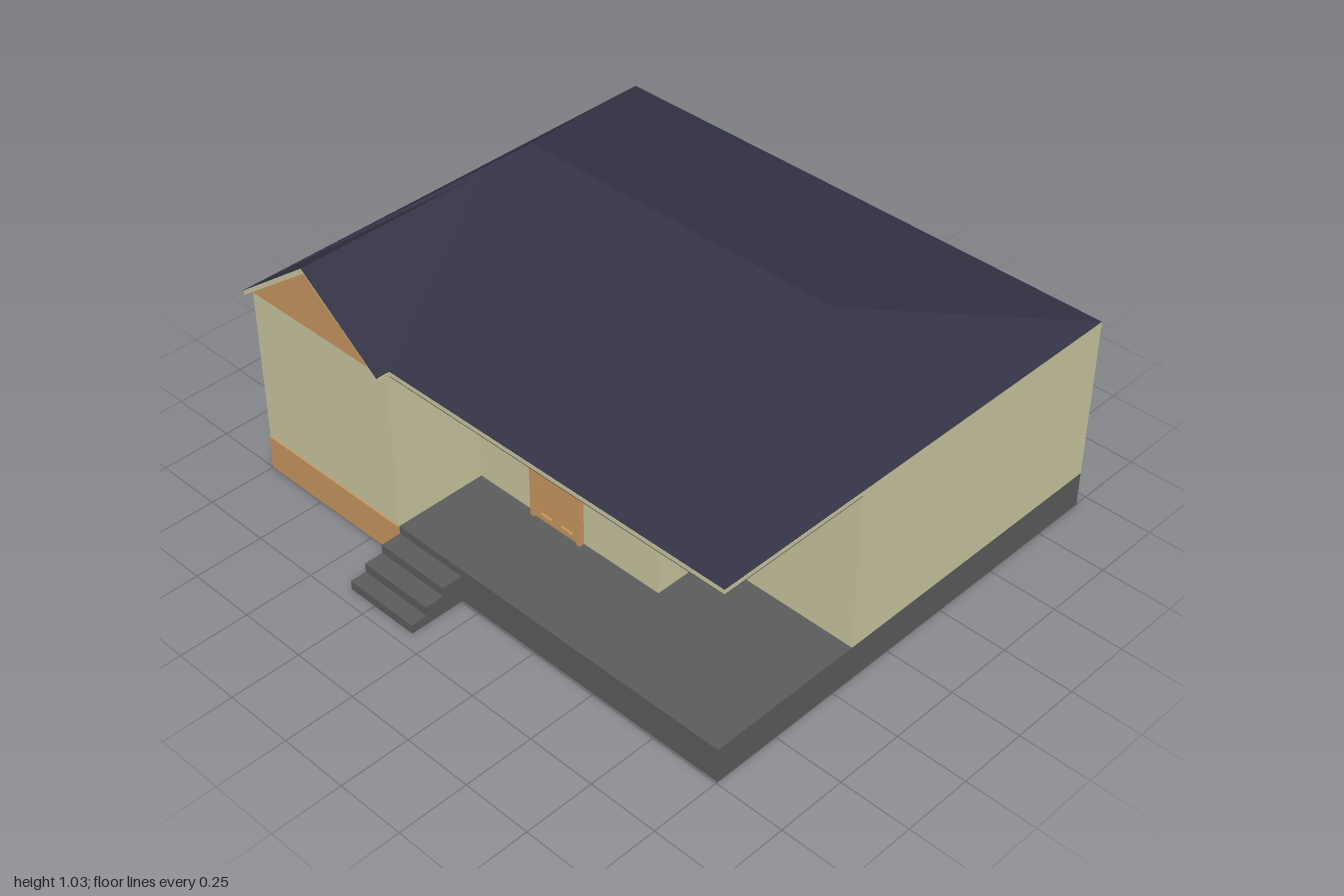
import * as THREE from 'three';

const material = (name, color, side = THREE.FrontSide) => {
  const m = new THREE.MeshStandardMaterial({ color, side });
  m.name = name;
  return m;
};

export function createModel() {
  const cream = material('cream wall', 0xcac7a0);
  const orange = material('orange wood', 0xc9965f);
  const grey = material('grey concrete', 0x5c5c5c);
  const navy = material('navy roof', 0x343446, THREE.DoubleSide);

  const house = new THREE.Group();
  house.name = 'house';

  const add = (parent, name, geometry, mat) => {
    const mesh = new THREE.Mesh(geometry, mat);
    mesh.name = name;
    parent.add(mesh);
    return mesh;
  };
  // Box given by its lower and upper limits
  const box = (parent, name, mat, x0, x1, y0, y1, z0, z1) =>
    add(parent, name, new THREE.BoxGeometry(x1 - x0, y1 - y0, z1 - z0), mat)
      .position.set((x0 + x1) / 2, (y0 + y1) / 2, (z0 + z1) / 2);
  const outline = (points) => new THREE.Shape(points.map(([x, y]) => new THREE.Vector2(x, y)));
  // Floor plan of [x, z] points raised from y0 to y1
  const planBlock = (points, y0, y1) =>
    new THREE.ExtrudeGeometry(outline(points.map(([x, z]) => [x, -z])), { depth: y1 - y0, bevelEnabled: false })
      .rotateX(-Math.PI / 2).translate(0, y0, 0);
  // Front elevation of [x, y] points, from z0 to z1
  const frontBlock = (shape, z0, z1) =>
    new THREE.ExtrudeGeometry(shape, { depth: z1 - z0, bevelEnabled: false }).translate(0, 0, z0);
  // Flat faces, each a counter-clockwise list of corners
  const faceGeometry = (faces) => {
    const pos = [];
    for (const f of faces)
      for (let i = 1; i < f.length - 1; i++) pos.push(...f[0], ...f[i], ...f[i + 1]);
    const g = new THREE.BufferGeometry();
    g.setAttribute('position', new THREE.Float32BufferAttribute(pos, 3));
    g.computeVertexNormals();
    return g;
  };

  const floor = 0.13, eave = 0.73, back = -0.95, front = 0.745, inner = -0.36;

  // Foundation and front steps
  box(house, 'foundation', grey, -1, 1, 0, floor, back, front);
  [[0.1, 0.82], [0.067, 0.89], [0.033, 0.95]].forEach(([h, z], i) =>
    box(house, `step${i + 1}`, grey, inner, -0.075, 0, h, front - 0.01, z));

  // Walls with stepped porch and a shallow recess at the back
  add(house, 'walls', planBlock([
    [-1, front], [inner, front], [inner, 0.4], [0.43, 0.4], [0.43, 0.17], [1, 0.17],
    [1, back], [0.17, back], [0.17, back + 0.05], [-0.22, back + 0.05], [-0.22, back], [-1, back],
  ], floor, eave), cream);

  // Porch ceiling with its cream edge
  const porch = [[inner, 0.4], [inner, 0.735], [1, 0.735], [1, 0.17], [0.43, 0.17], [0.43, 0.4]];
  add(house, 'porchFascia', planBlock(porch, 0.714, eave - 0.001), cream);
  add(house, 'porchCeiling', planBlock(porch, 0.711, 0.714), grey);

  // Orange cladding on the front wing
  box(house, 'wingPlinth', orange, -1, inner, 0, floor, front - 0.002, front + 0.005);
  add(house, 'wingGable', frontBlock(outline([
    [-1, 0.71], [inner, 0.71], [inner, 0.725], [-0.68, 0.965], [-1, 0.725],
  ]), front - 0.002, front + 0.005), orange);
  add(house, 'bargeboard', frontBlock(outline([
    [-1, 0.727], [-1, 0.711], [-0.68, 0.949], [inner, 0.711], [inner, 0.727], [-0.68, 0.967],
  ]), front, 0.778), cream);

  // Hipped main roof
  const A = [-1, eave, 0.735], B = [1, eave, 0.735], C = [1, eave, back], D = [-1, eave, back];
  const R0 = [-0.63, 1.03, -0.11], R1 = [0.63, 1.03, -0.11];
  add(house, 'mainRoof', faceGeometry([
    [A, B, R1, R0], [B, C, R1], [C, D, R0, R1], [D, A, R0], [A, D, C, B],
  ]), navy);

  // Gabled wing roof running into the main slope
  const P0 = [-0.68, 0.971, 0.06], P1 = [-0.68, 0.971, 0.785];
  add(house, 'wingRoof', faceGeometry([
    [A, [-1, eave, 0.785], P1, P0],
    [[inner, eave, 0.785], [inner, eave, 0.735], P0, P1],
  ]), navy);

  // Front door: frame, leaf with openings, panels and glazing bars
  const door = new THREE.Group();
  door.name = 'frontDoor';
  house.add(door);
  const rect = (x0, x1, y0, y1) => [[x0, y0], [x1, y0], [x1, y1], [x0, y1]];
  add(door, 'doorFrame', frontBlock(outline([
    [-0.11, floor], [-0.095, floor], [-0.095, 0.54], [0.095, 0.54],
    [0.095, floor], [0.11, floor], [0.11, 0.557], [-0.11, 0.557],
  ]), 0.395, 0.42), orange);
  const leaf = outline(rect(-0.095, 0.095, floor, 0.54));
  const panels = [[-0.072, -0.018], [0.018, 0.072]];
  for (const [x0, x1] of panels) leaf.holes.push(outline(rect(x0, x1, 0.15, 0.4)));
  leaf.holes.push(outline(rect(-0.072, 0.072, 0.44, 0.522)));
  add(door, 'doorLeaf', frontBlock(leaf, 0.395, 0.413), orange);
  box(door, 'doorBacking', orange, -0.09, 0.09, 0.135, 0.42, 0.395, 0.404);
  for (const [x0, x1] of panels)
    box(door, 'doorPanel', orange, x0 + 0.008, x1 - 0.008, 0.158, 0.392, 0.4, 0.409);
  box(door, 'doorGlass', cream, -0.075, 0.075, 0.438, 0.525, 0.398, 0.404);
  for (const x of [-0.036, 0, 0.036])
    box(door, 'glazingBar', orange, x - 0.002, x + 0.002, 0.44, 0.522, 0.4, 0.41);
  box(door, 'glazingRail', orange, -0.072, 0.072, 0.479, 0.483, 0.4, 0.409);

  return house;
}
